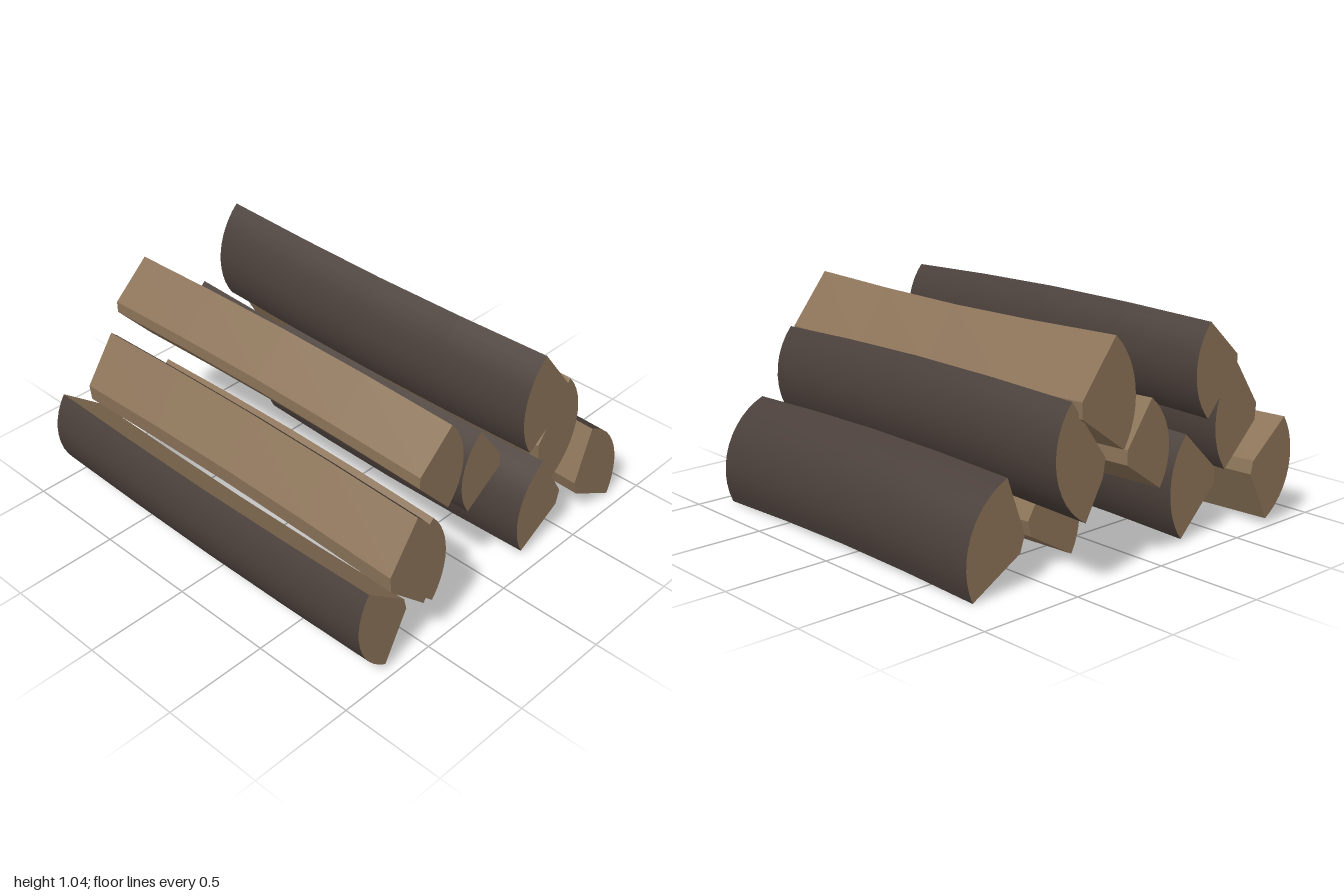
import * as THREE from 'three';

const bark = new THREE.MeshStandardMaterial({ color: 0x4a3f3a });
bark.name = 'bark';
const wood = new THREE.MeshStandardMaterial({ color: 0x8b7358 });
wood.name = 'splitWood';

// Split logs: x range, section corners as [z, y] (top bark edge, bottom bark edge,
// bottom inner corner, top inner corner), bark bulge, bow of the middle.
// side +1: bark faces the front, -1: bark faces the back.
const LOGS = [
  { name: 'frontLowLog', x: [-0.98, 0.96], top: [0.83, 0.495], bottom: [0.725, 0.037], low: [0.605, 0.27], high: [0.62, 0.33], bulge: 0.105, bow: -0.02, side: 1 },
  { name: 'frontUpperLog', x: [-0.88, 1.0], top: [0.6, 0.772], bottom: [0.545, 0.285], low: [0.745, 0.475], high: [0.752, 0.553], bulge: 0.1, bow: 0.02, side: -1 },
  { name: 'innerUpperLog', x: [-0.98, 0.9], top: [0.295, 1.005], bottom: [0.295, 0.585], low: [0.477, 0.785], high: [0.477, 0.84], bulge: 0.083, bow: 0.02, side: -1 },
  { name: 'innerLowLog', x: [-0.86, 0.83], top: [0.3, 0.49], bottom: [0.285, 0.015], low: [0.5, 0.225], high: [0.5, 0.3], bulge: 0.085, bow: 0.02, side: -1 },
  { name: 'middleLog', x: [-0.96, 0.79], top: [-0.04, 0.735], bottom: [0.022, 0.335], low: [-0.182, 0.475], high: [-0.18, 0.54], bulge: 0.08, bow: -0.02, side: 1 },
  { name: 'backTopLog', x: [-1.0, 0.9], top: [-0.305, 1.043], bottom: [-0.247, 0.565], low: [-0.487, 0.735], high: [-0.49, 0.805], bulge: 0.09, bow: -0.02, side: 1 },
  { name: 'backUpperLog', x: [-0.98, 0.88], top: [-0.525, 0.81], bottom: [-0.44, 0.295], low: [-0.345, 0.465], high: [-0.332, 0.545], bulge: 0.125, bow: 0.02, side: -1 },
  { name: 'backOuterLog', x: [-0.77, 0.93], top: [-0.668, 0.485], bottom: [-0.855, 0.005], low: [-0.598, 0.15], high: [-0.573, 0.225], bulge: 0.11, bow: 0.02, side: -1 },
  { name: 'backLowLog', x: [-0.69, 0.915], top: [-0.33, 0.482], bottom: [-0.223, 0.03], low: [-0.46, 0.165], high: [-0.478, 0.235], bulge: 0.092, bow: -0.02, side: 1 },
];

// Circular arc from a to b, bulging outward by s
function arc(a, b, s, n) {
  const [az, ay] = a, [bz, by] = b;
  const len = Math.hypot(bz - az, by - ay);
  const dir = [(bz - az) / len, (by - ay) / len];
  const out = [-dir[1], dir[0]];
  const r = (len * len / 4 + s * s) / (2 * s);
  const half = Math.asin(len / 2 / r);
  return Array.from({ length: n + 1 }, (_, i) => {
    const t = -half + (2 * half * i) / n;
    const u = len / 2 + r * Math.sin(t), v = r * Math.cos(t) - (r - s);
    return [az + dir[0] * u + out[0] * v, ay + dir[1] * u + out[1] * v];
  });
}

function buildGeometry(positions, index) {
  const g = new THREE.BufferGeometry();
  g.setAttribute('position', new THREE.Float32BufferAttribute(positions, 3));
  g.setIndex(index);
  return g;
}

// Sweep an open run of section points along the bowed log
function sweep(points, log, steps = 4) {
  const positions = [], index = [], n = points.length;
  for (let i = 0; i <= steps; i++) {
    const t = i / steps;
    const x = THREE.MathUtils.lerp(log.x[0], log.x[1], t);
    const lift = log.bow * Math.sin(Math.PI * t);
    for (const [z, y] of points) positions.push(x, y + lift, z);
  }
  for (let i = 0; i < steps; i++) {
    for (let j = 0; j < n - 1; j++) {
      const a = i * n + j, b = a + 1, c = b + n, d = a + n;
      index.push(a, b, c, a, c, d);
    }
  }
  return buildGeometry(positions, index);
}

// Flat end face, facing +x or -x
function endCap(points, x, facing) {
  const positions = points.flatMap(([z, y]) => [x, y, z]);
  const index = [];
  for (let i = 1; i < points.length - 1; i++) {
    index.push(0, ...(facing > 0 ? [i, i + 1] : [i + 1, i]));
  }
  return buildGeometry(positions, index);
}

function addMesh(group, name, geometry, material, flat) {
  const g = flat ? geometry.toNonIndexed() : geometry;
  g.computeVertexNormals();
  const mesh = new THREE.Mesh(g, material);
  mesh.name = name;
  group.add(mesh);
}

function makeLog(log) {
  const group = new THREE.Group();
  group.name = log.name;
  // Corners run anticlockwise as seen from +x
  const [a, b, c, d] = log.side > 0
    ? [log.top, log.bottom, log.low, log.high]
    : [log.bottom, log.top, log.high, log.low];
  const curve = arc(a, b, log.bulge, 12);
  const section = [...curve, c, d];
  addMesh(group, 'barkFace', sweep(curve, log), bark, false);
  addMesh(group, 'splitFaces', sweep([b, c, d, a], log), wood, true);
  addMesh(group, 'leftEnd', endCap(section, log.x[1], 1), wood, true);
  addMesh(group, 'rightEnd', endCap(section, log.x[0], -1), wood, true);
  return group;
}

export function createModel() {
  const pile = new THREE.Group();
  pile.name = 'firewoodPile';
  for (const log of LOGS) pile.add(makeLog(log));
  return pile;
}
